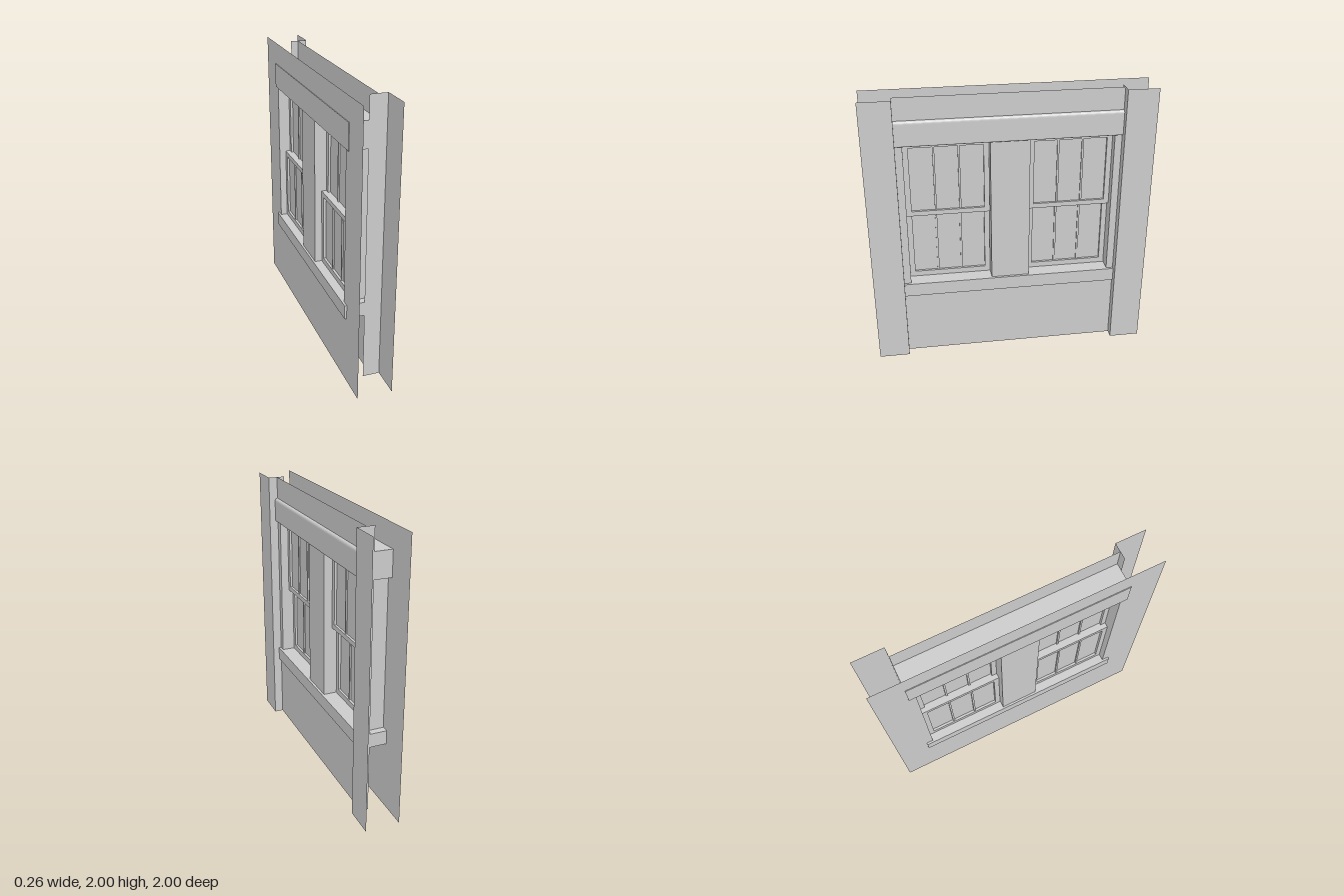
import * as THREE from 'three';

const grey = new THREE.MeshStandardMaterial({ color: 0xcccccc, side: THREE.DoubleSide });

const INNER = -0.115, OUTER = 0.065; // x of the two wall skins
const SIDE = 0.78;                   // half width of the recessed outer wall
const OPEN = 0.73, SILL_Y = 0.59, HEAD_Y = 1.66; // window opening

function add(parent, name, geometry) {
  const mesh = new THREE.Mesh(geometry, grey);
  mesh.name = name;
  parent.add(mesh);
  return mesh;
}

// Box given by its limits on each axis
function box(parent, name, x0, x1, y0, y1, z0, z1) {
  const mesh = add(parent, name, new THREE.BoxGeometry(x1 - x0, y1 - y0, z1 - z0));
  mesh.position.set((x0 + x1) / 2, (y0 + y1) / 2, (z0 + z1) / 2);
  return mesh;
}

// Rectangle in width and height, with an optional rectangular hole
function rect(Type, w0, w1, y0, y1) {
  const r = new Type();
  r.moveTo(w0, y0).lineTo(w1, y0).lineTo(w1, y1).lineTo(w0, y1).closePath();
  return r;
}
function holed(outer, hole) {
  const shape = rect(THREE.Shape, ...outer);
  if (hole) shape.holes.push(rect(THREE.Path, ...hole));
  return shape;
}

// Flat sheet facing +x
function sheet(parent, name, x, outer, hole) {
  const geometry = new THREE.ShapeGeometry(holed(outer, hole)).rotateY(Math.PI / 2);
  add(parent, name, geometry).position.x = x;
}

// One sash: frame, glass and two upright glazing bars, centred on z = 0
function sash(name, x, depth, y0, y1, g0, g1) {
  const group = new THREE.Group();
  group.name = name;
  const half = 0.295, glassHalf = 0.258;
  const frame = new THREE.ExtrudeGeometry(
    holed([-half, half, y0, y1], [-glassHalf, glassHalf, g0, g1]),
    { depth, bevelEnabled: false });
  add(group, 'sashFrame', frame.rotateY(Math.PI / 2)).position.x = x;
  const mid = x + depth / 2;
  sheet(group, 'glass', mid, [-glassHalf, glassHalf, g0, g1]);
  for (const z of [-0.087, 0.087]) {
    box(group, 'glazingBar', mid - 0.01, mid + 0.01, g0, g1, z - 0.007, z + 0.007);
  }
  return group;
}

export function createModel() {
  const model = new THREE.Group();
  model.name = 'windowWall';

  // Wall skins with the window opening
  const opening = [-OPEN, OPEN, SILL_Y, HEAD_Y];
  sheet(model, 'innerWall', INNER, [-1, 1, 0, 2], opening);
  sheet(model, 'outerWall', OUTER, [-SIDE, SIDE, 0, 2], opening);

  // Raised side strips, their returns and the jambs of the opening
  for (const s of [-1, 1]) {
    sheet(model, 'sideStrip', 0.13, s > 0 ? [SIDE, 1, 0, 2] : [-1, -SIDE, 0, 2]);
    add(model, 'sideReturn', new THREE.PlaneGeometry(0.12, 2)).position.set(0.07, 1, s * SIDE);
    add(model, 'jamb', new THREE.PlaneGeometry(OUTER - INNER, HEAD_Y - SILL_Y))
      .position.set((INNER + OUTER) / 2, (SILL_Y + HEAD_Y) / 2, s * OPEN);
  }

  // Post between the two windows
  box(model, 'mullion', INNER, OUTER, SILL_Y, HEAD_Y, -0.138, 0.138);

  // Sill through the wall
  box(model, 'sill', -0.13, 0.083, 0.49, SILL_Y, -SIDE, SIDE);

  // Head trim with rounded outer edges
  const p = new THREE.Shape();
  p.moveTo(-0.12, HEAD_Y).lineTo(0.073, HEAD_Y);
  p.quadraticCurveTo(0.085, HEAD_Y, 0.085, HEAD_Y + 0.012);
  p.lineTo(0.085, 1.817).quadraticCurveTo(0.085, 1.84, 0.062, 1.84);
  p.lineTo(-0.12, 1.84).closePath();
  add(model, 'headTrim', new THREE.ExtrudeGeometry(p, { depth: 2 * SIDE, bevelEnabled: false, curveSegments: 6 }))
    .position.z = -SIDE;

  // Two double-hung windows: upper sash outside, lower sash inside
  for (const s of [-1, 1]) {
    const win = new THREE.Group();
    win.name = s > 0 ? 'leftWindow' : 'rightWindow';
    win.add(sash('upperSash', -0.03, 0.035, 1.105, HEAD_Y, 1.14, 1.62));
    win.add(sash('lowerSash', -0.065, 0.035, SILL_Y, 1.14, 0.63, 1.105));
    win.position.z = s * 0.435;
    model.add(win);
  }
  // The strips are mirrored in pairs, so the sheet's flipped width axis is harmless
  return model;
}
